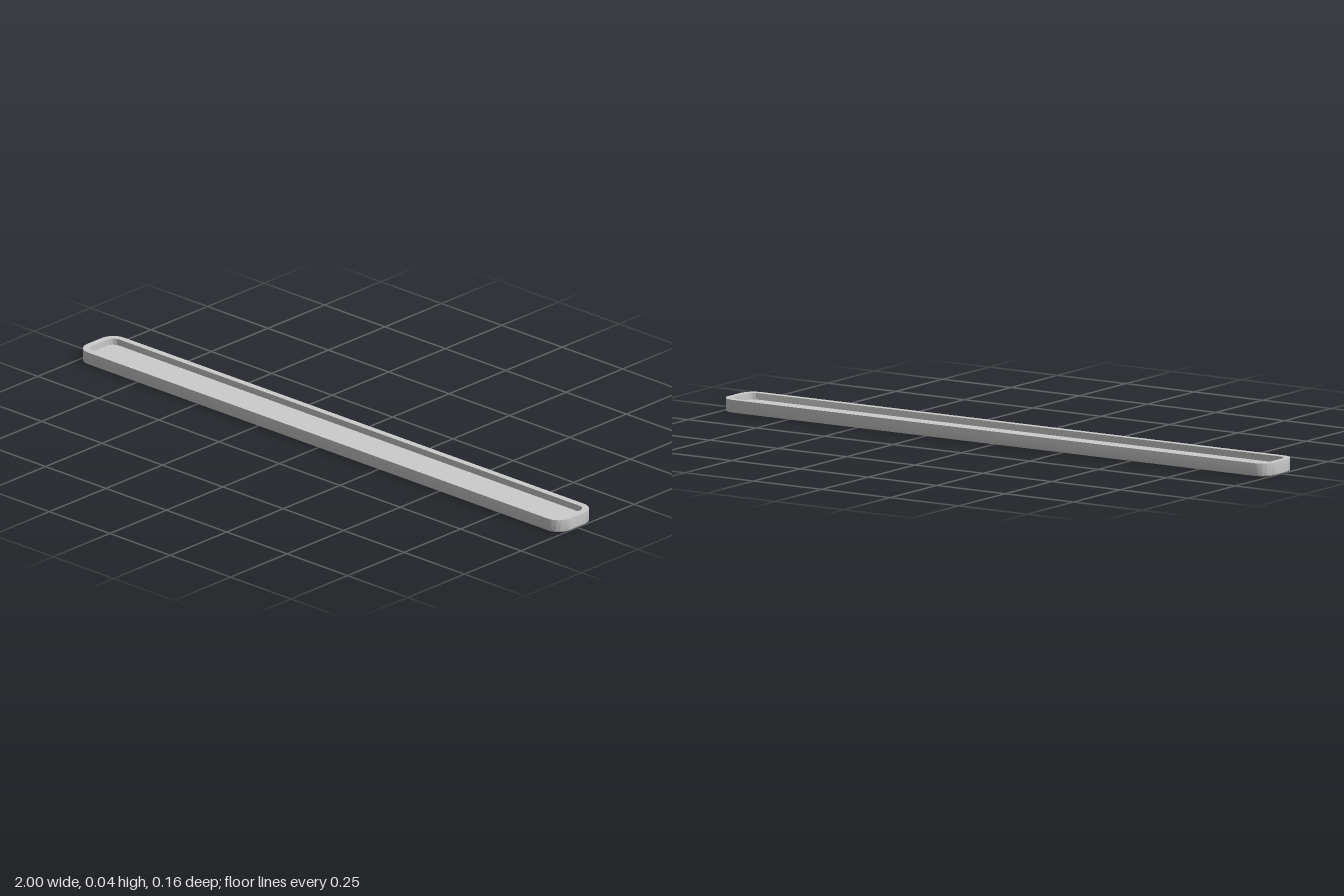
import * as THREE from 'three';
import { toCreasedNormals } from 'three/addons/utils/BufferGeometryUtils.js';

const HALF_X = 1, HALF_Z = 0.08, RADIUS = 0.048, HEIGHT = 0.04;
const WALL = 0.021, FLOOR_TOP = 0.02, FLOOR_BOTTOM = 0.007;
const CORNER_STEPS = 12;

// Rounded rectangle outline, moved inwards by inset
function outline(inset) {
  const r = RADIUS - inset, points = [];
  for (let corner = 0; corner < 4; corner++) {
    const sx = corner === 0 || corner === 3 ? 1 : -1;
    const sz = corner < 2 ? 1 : -1;
    for (let i = 0; i <= CORNER_STEPS; i++) {
      const t = (corner + i / CORNER_STEPS) * Math.PI / 2;
      points.push(new THREE.Vector2(
        sx * (HALF_X - RADIUS) + r * Math.cos(t),
        sz * (HALF_Z - RADIUS) + r * Math.sin(t)));
    }
  }
  return points;
}

// Sweeps a profile of [inset, y] pairs around the outline
function sweepRim(profile) {
  const loops = profile.map(([inset, y]) =>
    outline(inset).map((p) => [p.x, y, p.y]));
  const n = loops[0].length, positions = [];
  for (let j = 0; j < loops.length - 1; j++) {
    for (let i = 0; i < n; i++) {
      const k = (i + 1) % n;
      const a = loops[j][i], b = loops[j + 1][i], c = loops[j + 1][k], d = loops[j][k];
      positions.push(...a, ...b, ...d, ...b, ...c, ...d);
    }
  }
  const geometry = new THREE.BufferGeometry();
  geometry.setAttribute('position', new THREE.Float32BufferAttribute(positions, 3));
  return toCreasedNormals(geometry, 0.6);
}

export function createModel() {
  const group = new THREE.Group();
  group.name = 'tray';
  const material = new THREE.MeshStandardMaterial({ color: 0xcccccc });
  const add = (name, geometry) => {
    const mesh = new THREE.Mesh(geometry, material);
    mesh.name = name;
    group.add(mesh);
    return mesh;
  };

  // Rim: underside lip, rounded lower edge, outer wall, flat top, inner wall
  const f = 0.004;
  const profile = [[WALL, FLOOR_BOTTOM], [WALL, 0]];
  for (let i = 0; i <= 4; i++) {
    const t = i / 4 * Math.PI / 2;
    profile.push([f * (1 - Math.sin(t)), f * (1 - Math.cos(t))]);
  }
  profile.push([0, HEIGHT], [WALL, HEIGHT], [WALL, FLOOR_TOP]);
  add('rim', sweepRim(profile));

  // Floor: sunk below the rim, and raised a little above the ground
  const top = new THREE.ShapeGeometry(new THREE.Shape(outline(WALL)));
  const floor = add('floor', top.clone().rotateX(-Math.PI / 2));
  floor.position.y = FLOOR_TOP;
  const underside = add('underside', top.rotateX(Math.PI / 2));
  underside.position.y = FLOOR_BOTTOM;

  return group;
}
